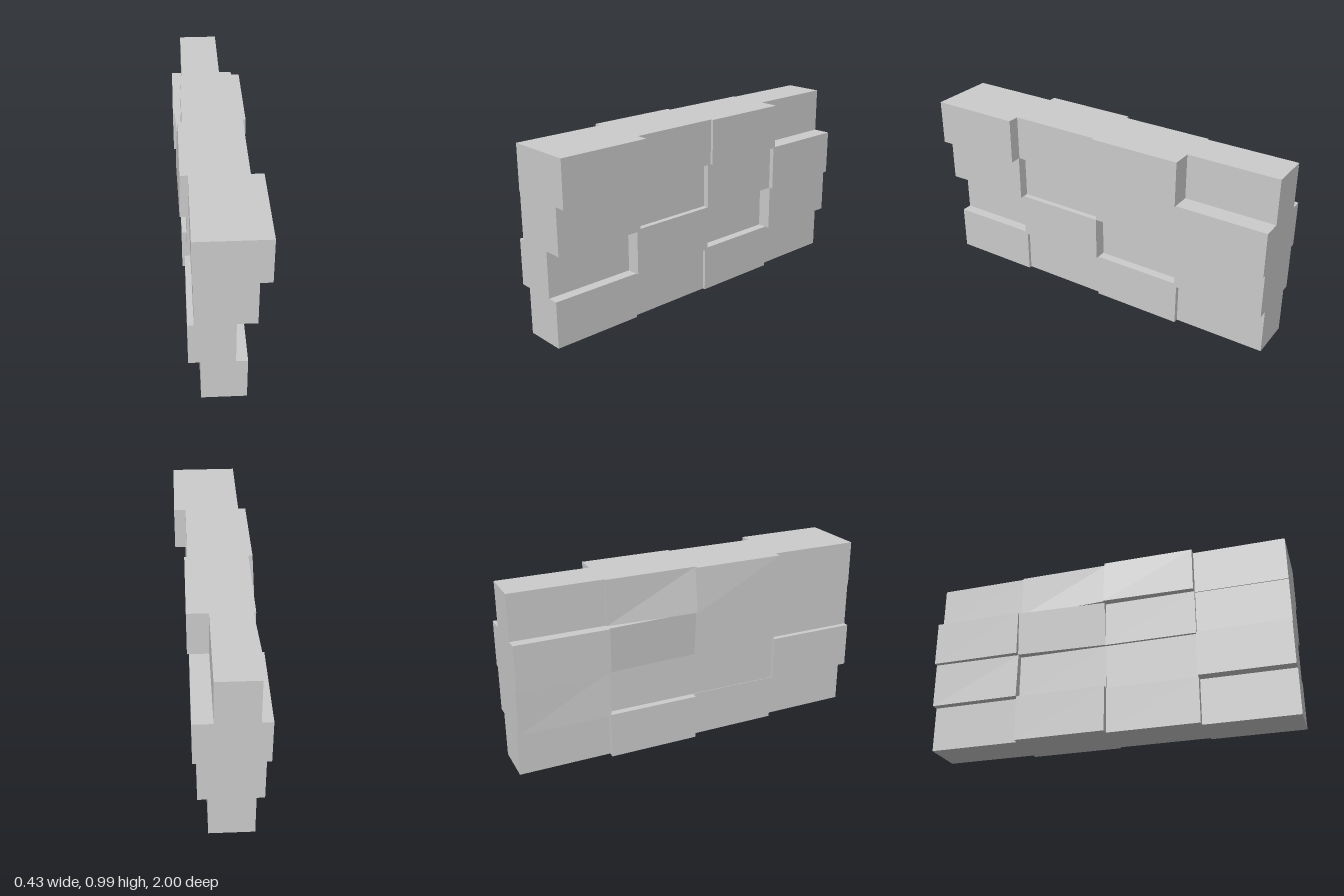
import * as THREE from 'three';

// Rows run bottom to top, columns run from the front (+z) to the back (-z).
const LEFT = [
  [0.113, 0.095, 0.11, 0.083],
  [0.055, 0.13, 0.06, 0.135],
  [0.155, 0.1, 0.13, 0.155],
  [0.215, 0.15, 0.165, 0.055],
];
// A number is a flat face; a list is a tilted one:
// [bottom front, bottom back, top front, top back]
const RIGHT = [
  [-0.115, -0.15, -0.187, -0.152],
  [-0.175, -0.147, -0.148, [-0.195, -0.193, -0.185, -0.193]],
  [-0.145, -0.162, [-0.165, -0.19, -0.183, -0.207], -0.217],
  [-0.15, [-0.195, -0.207, -0.19, -0.192], [-0.2, -0.17, -0.17, -0.17], -0.16],
];
const ROW_Y = [0, 0.25, 0.498, 0.747, 0.993];

// Stone block whose two outer faces are pushed to the given x positions
function stone(row, col, material) {
  const y0 = ROW_Y[row], y1 = ROW_Y[row + 1];
  const front = 1 - col * 0.5;
  const right = RIGHT[row][col];
  const geometry = new THREE.BoxGeometry(1, 1, 1).toNonIndexed();
  const p = geometry.attributes.position;
  for (let i = 0; i < p.count; i++) {
    const top = p.getY(i) > 0, back = p.getZ(i) < 0;
    const corner = (top ? 2 : 0) + (back ? 1 : 0);
    const rightX = Array.isArray(right) ? right[corner] : right;
    p.setXYZ(i, p.getX(i) > 0 ? LEFT[row][col] : rightX, top ? y1 : y0, back ? front - 0.5 : front);
  }
  geometry.computeVertexNormals();
  const mesh = new THREE.Mesh(geometry, material);
  mesh.name = `stoneRow${row + 1}Column${col + 1}`;
  return mesh;
}

export function createModel() {
  const wall = new THREE.Group();
  wall.name = 'stoneWall';
  const material = new THREE.MeshStandardMaterial({ color: 0xcccccc, flatShading: true });
  for (let row = 0; row < 4; row++) {
    const course = new THREE.Group();
    course.name = `course${row + 1}`;
    for (let col = 0; col < 4; col++) course.add(stone(row, col, material));
    wall.add(course);
  }
  return wall;
}
